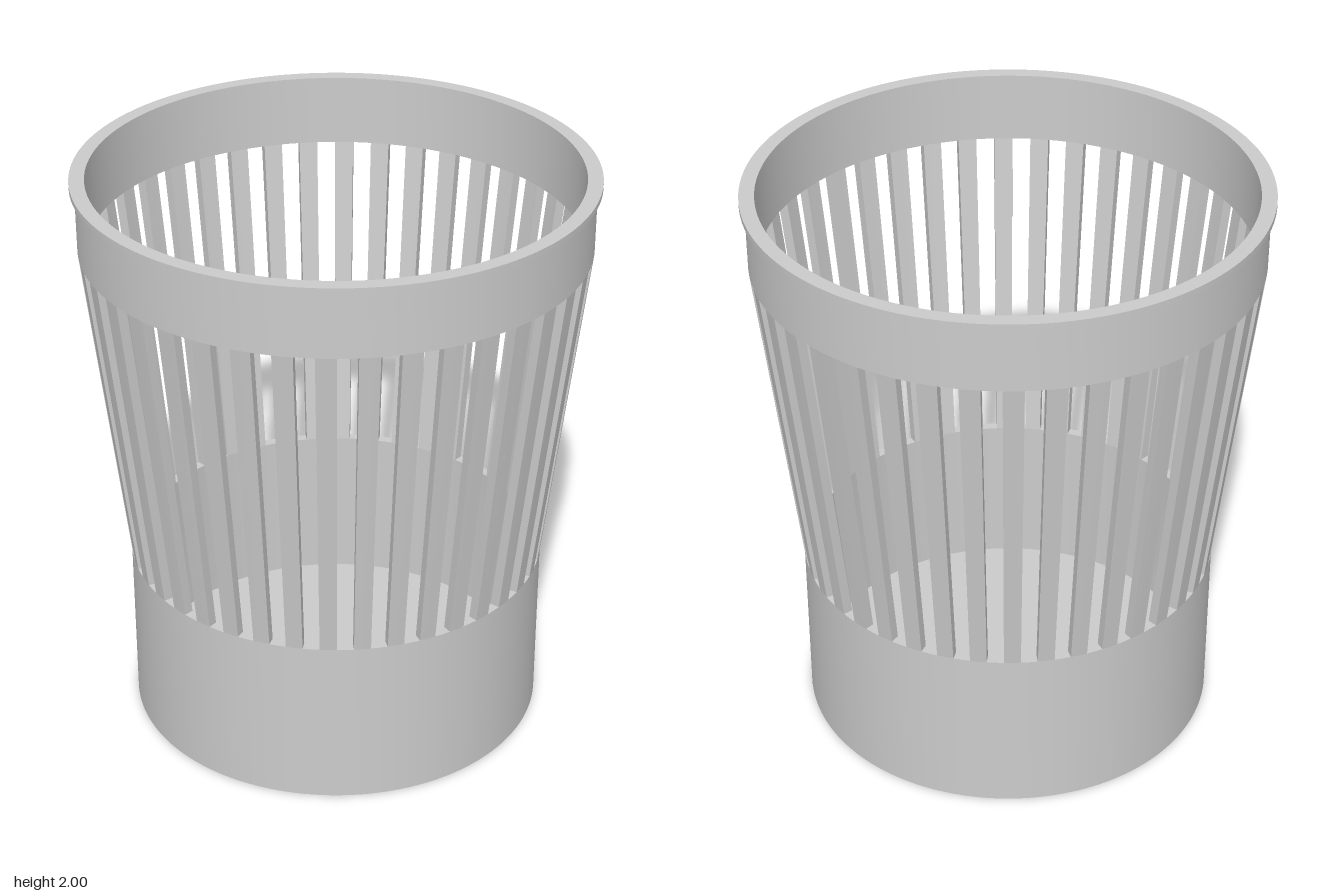
import * as THREE from 'three';
import { toCreasedNormals } from 'three/addons/utils/BufferGeometryUtils.js';

const SLATS = 40;
const PITCH = (Math.PI * 2) / SLATS;
const SEGMENTS = SLATS * 4;

// heights and radii
const LOW = 0.6, HIGH = 1.755, TOP = 2;
const R_LOW = 0.722, R_HIGH = 0.855, R_RIM = 0.872;
const WALL = 0.034, FLOOR = 0.035;

const material = new THREE.MeshStandardMaterial({ color: 0xcccccc });

function addMesh(parent, name, geometry) {
  const mesh = new THREE.Mesh(toCreasedNormals(geometry, 0.5), material);
  mesh.name = name;
  parent.add(mesh);
  return mesh;
}

// revolve a profile of [radius, height] pairs
function revolve(profile) {
  return new THREE.LatheGeometry(profile.map(([r, y]) => new THREE.Vector2(r, y)), SEGMENTS);
}

// box bent around the axis: x becomes the angle, z the wall thickness, leaning outwards with height
function slatGeometry() {
  const geometry = new THREE.BoxGeometry(1, 1, 1, 2, 1, 1);
  const p = geometry.attributes.position;
  for (let i = 0; i < p.count; i++) {
    const t = p.getY(i) + 0.5;
    const angle = (p.getX(i) - 0.5) * PITCH / 2;
    const r = THREE.MathUtils.lerp(R_LOW, R_HIGH, t) + (p.getZ(i) - 0.5) * WALL;
    p.setXYZ(i, r * Math.sin(angle), THREE.MathUtils.lerp(LOW, HIGH, t), r * Math.cos(angle));
  }
  return geometry;
}

export function createModel() {
  const basket = new THREE.Group();
  basket.name = 'wasteBasket';

  // solid lower cup with its floor
  addMesh(basket, 'lowerCup', revolve([
    [0, 0], [R_LOW, 0], [R_LOW, LOW], [R_LOW - WALL, LOW], [R_LOW - WALL, FLOOR], [0, FLOOR],
  ]));

  // upper band with the thin lip around its mouth
  addMesh(basket, 'upperBand', revolve([
    [R_HIGH - WALL, HIGH], [R_HIGH, HIGH], [R_HIGH, TOP - 0.02], [R_RIM, TOP - 0.02],
    [R_RIM, TOP], [R_HIGH - WALL, TOP], [R_HIGH - WALL, HIGH],
  ]));

  // ring of slanted slats between the two
  const slats = new THREE.Group();
  slats.name = 'slats';
  const geometry = slatGeometry();
  for (let i = 0; i < SLATS; i++) {
    addMesh(slats, 'slat', geometry).rotation.y = i * PITCH;
  }
  basket.add(slats);

  return basket;
}
